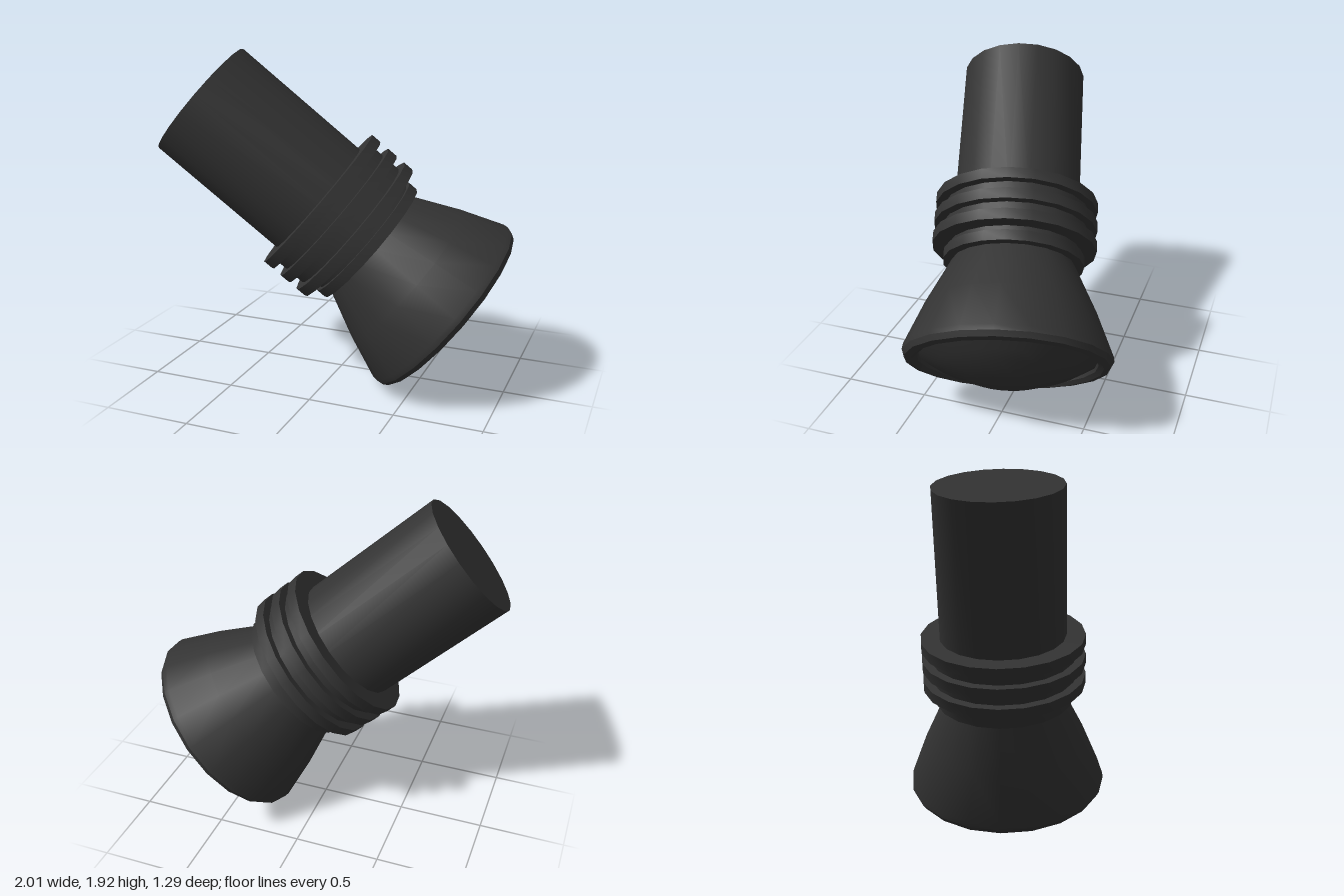
import * as THREE from 'three';
import { toCreasedNormals } from 'three/addons/utils/BufferGeometryUtils.js';

const SIDES = 20;
const material = new THREE.MeshStandardMaterial({ color: 0x333333 });

// Turned part from [radius, distance along the axis] points
function turned(name, profile) {
  const points = profile.map(([r, t]) => new THREE.Vector2(r, t));
  const geometry = toCreasedNormals(new THREE.LatheGeometry(points, SIDES), 0.6);
  const mesh = new THREE.Mesh(geometry, material);
  mesh.name = name;
  return mesh;
}

// Closed disc-shaped band
const band = (name, r, t0, t1) => turned(name, [[0, t0], [r, t0], [r, t1], [0, t1]]);

export function createModel() {
  const model = new THREE.Group();
  model.name = 'spotlight';

  // All parts share one slanted axis, starting at the rear cap
  const axis = new THREE.Vector3(0.738, -0.646, -0.196).normalize();
  model.position.set(-0.75, 1.64, 0.28);
  model.quaternion.setFromUnitVectors(new THREE.Vector3(0, 1, 0), axis);

  // Rear barrel and the collar core behind the rings
  model.add(band('barrel', 0.37, 0, 1.0));
  model.add(band('collarCore', 0.43, 0.9, 1.16));
  model.add(band('neck', 0.385, 1.1, 1.25));

  // Three equal cooling rings and a smaller front ring
  for (let i = 0; i < 3; i++) {
    const t = 0.875 + i * 0.122;
    model.add(band('collarRing', 0.48, t, t + 0.062));
  }
  model.add(band('frontRing', 0.41, 1.215, 1.275));

  // Flared shade with a rounded lip
  model.add(turned('flaredShade', [
    [0.34, 1.24], [0.36, 1.28], [0.488, 1.55], [0.586, 1.8],
    [0.59, 1.83], [0.573, 1.86], [0.535, 1.868], [0.505, 1.85], [0.495, 1.81],
  ]));

  // Domed lens
  const dome = [0.5, 0.41, 0.33, 0.17, 0].map((r) => [r, 1.985 - 0.155 * (r / 0.5) ** 2]);
  model.add(turned('lens', dome));

  const group = new THREE.Group();
  group.add(model);
  return group;
}
